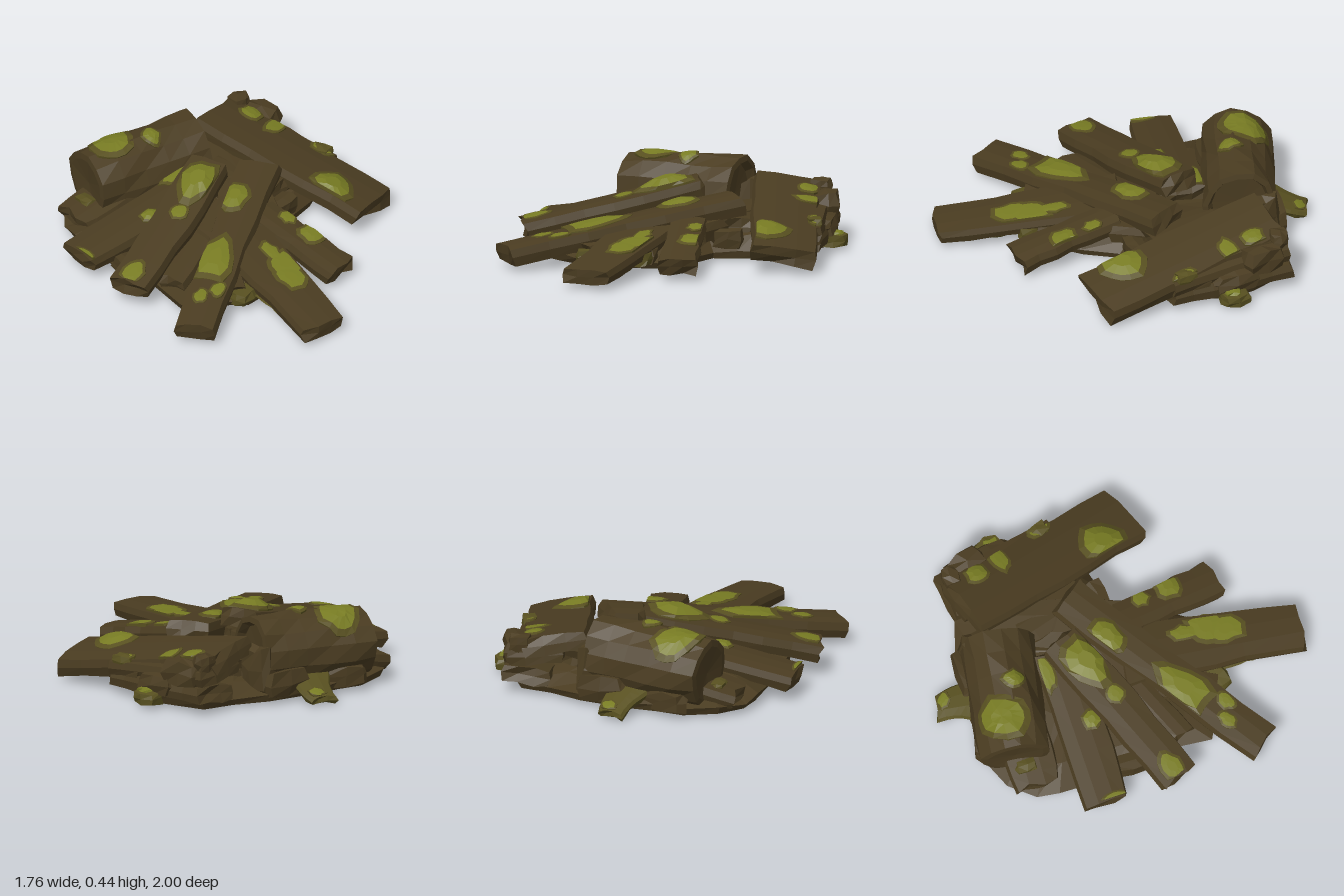
import * as THREE from 'three';

const flatMat = (name, color) => {
  const m = new THREE.MeshStandardMaterial({ color, flatShading: true });
  m.name = name;
  return m;
};

export function createModel() {
  const model = new THREE.Group();
  model.name = 'mossyWoodPile';
  const wood = flatMat('darkWood', 0x4a3c21);
  const moss = flatMat('moss', 0x787c23);
  const fringe = flatMat('mossFringe', 0x585020);

  // repeatable noise in -1..1
  const noise = (a, b = 0, c = 0) => {
    const s = Math.sin(a * 12.99 + b * 78.23 + c * 37.72) * 43758.55;
    return (s - Math.floor(s)) * 2 - 1;
  };

  const add = (name, geometry, material, parent = model) => {
    const g = geometry.index ? geometry.toNonIndexed() : geometry;
    g.computeVertexNormals();
    const mesh = new THREE.Mesh(g, material);
    mesh.name = name;
    parent.add(mesh);
    return mesh;
  };

  // surface through closed loops, listed from the top centre outward
  const skin = (loops) => {
    const n = loops[0].length, pos = [];
    for (let k = 0; k + 1 < loops.length; k++) {
      for (let i = 0; i < n; i++) {
        const j = (i + 1) % n, a = loops[k], b = loops[k + 1];
        for (const p of [a[i], b[j], b[i], a[i], a[j], b[j]]) pos.push(...p);
      }
    }
    const g = new THREE.BufferGeometry();
    g.setAttribute('position', new THREE.Float32BufferAttribute(pos, 3));
    return g;
  };

  // moss patch: bright core and darker rim with a skirt, laid on a surface by map(u, w, h)
  const patch = (parent, map, u, w, ru, rw, h = 0.008, turn = 0) => {
    const loop = (f, lift) => Array.from({ length: 13 }, (_, i) => {
      const t = i / 13 * Math.PI * 2;
      const r = f * (1 + 0.17 * noise(i, u * 10, w * 10));
      const x = Math.cos(t) * ru * r, z = Math.sin(t) * rw * r;
      const c = Math.cos(turn), s = Math.sin(turn);
      return map(u + x * c - z * s, w + x * s + z * c, lift);
    });
    const edge = h * 0.35 + 0.003;
    add('mossCore', skin([loop(0, h), loop(0.4, h), loop(0.88, edge)]), moss, parent);
    add('mossRim', skin([loop(0.88, edge), loop(1.16, 0.003), loop(1.17, -0.012)]), fringe, parent);
  };

  // plank from centre point a to b; spots are [x, z, along, across, height]
  let seed = 0;
  const plank = (name, a, b, W, T, { roll = 0, taper = 0, spots = [], mat = wood } = {}) => {
    seed++;
    const A = new THREE.Vector3(...a), B = new THREE.Vector3(...b);
    const L = A.distanceTo(B);
    const d = B.clone().sub(A).normalize();
    const s = d.clone().cross(new THREE.Vector3(0, 1, 0)).normalize();
    const n = s.clone().cross(d);
    const group = new THREE.Group();
    group.name = name;
    group.quaternion.setFromRotationMatrix(new THREE.Matrix4().makeBasis(d, n, s));
    group.position.copy(A).add(B).multiplyScalar(0.5);
    group.rotateX(roll);
    model.add(group);

    const g = new THREE.BoxGeometry(L, T, W, 6, 2, 3);
    const p = g.attributes.position;
    for (let i = 0; i < p.count; i++) {
      const x = p.getX(i), y = p.getY(i), z = p.getZ(i);
      const qx = Math.round(x / L * 6), qy = Math.round(y / T * 2), qz = Math.round(z / W * 6);
      const end = Math.abs(qx) === 3, side = Math.abs(qz) === 3;
      const dz = side ? Math.sign(z) * (0.012 * noise(qx, qz, seed) - (qy ? 0.012 : 0)) : 0;
      const dx = end ? 0.018 * noise(qz, qx + qy * 0.3, seed) : 0;
      const dy = qy < 0 ? 0.008 * noise(qx, qz, seed + 9) : (qy > 0 && side ? -0.008 : 0);
      p.setXYZ(i, x + dx, y + dy, z * (1 + taper * x / L) + dz);
    }
    add(name + 'Board', g, mat, group);

    const map = (u, w, h) => {
      const half = W / 2 * (1 + taper * u / L) - 0.02;
      return [THREE.MathUtils.clamp(u, -L / 2 + 0.01, L / 2 - 0.01), T / 2 + h,
        THREE.MathUtils.clamp(w, -half, half)];
    };
    const mid = group.position;
    const flatD = Math.hypot(d.x, d.z);
    for (const [x, z, ru, rw, h] of spots) {
      const u = ((x - mid.x) * d.x + (z - mid.z) * d.z) / flatD / flatD;
      const w = (x - mid.x) * s.x + (z - mid.z) * s.z;
      patch(group, map, u, w, ru, rw, h);
    }
  };

  // low mound of packed debris with a flat underside
  const outline = [[-0.2, -0.86], [0.1, -0.86], [0.3, -0.82], [0.48, -0.82], [0.6, -0.68], [0.66, -0.55],
    [0.65, -0.4], [0.62, -0.2], [0.5, -0.1], [0.35, -0.03], [0.23, 0.02], [0.18, 0.22], [0.1, 0.4],
    [-0.1, 0.5], [-0.27, 0.54], [-0.36, 0.49], [-0.5, 0.45], [-0.61, 0.4], [-0.62, 0.12], [-0.71, 0.02],
    [-0.72, -0.2], [-0.76, -0.45], [-0.75, -0.57], [-0.67, -0.72], [-0.5, -0.81], [-0.35, -0.83]];
  const ring = (f, y, rough) => outline.map(([x, z], i) => {
    const k = f * (1 + rough * noise(i, 3));
    return [-0.02 + (x + 0.02) * k, y + rough * noise(i, f), -0.25 + (z + 0.25) * k];
  });
  add('debrisMound', skin([ring(0, 0.18, 0), ring(0.45, 0.16, 0.02), ring(0.8, 0.12, 0.025),
    ring(1, 0.065, 0.015), ring(0.97, 0.025, 0.005), ring(0, 0.02, 0)]), wood);

  // main planks fanned over the mound
  plank('frontPlank', [-0.07, 0.075, 0.97], [-0.11, 0.19, 0.0], 0.3, 0.08,
    { taper: 0.25, spots: [[-0.04, 0.58, 0.1, 0.07], [-0.01, 0.47, 0.1, 0.09], [-0.03, 0.35, 0.08, 0.04]] });
  plank('undersideMoss', [-0.08, 0.066, 0.69], [-0.1, 0.094, 0.45], 0.26, 0.02, { mat: fringe });
  plank('shortPlank', [0.27, 0.085, 0.57], [0.09, 0.2, 0.03], 0.21, 0.09,
    { spots: [[0.25, 0.31, 0.075, 0.075, 0.015], [0.19, 0.15, 0.05, 0.045]] });
  plank('longPlank', [-0.69, 0.085, 0.66], [0.25, 0.285, -0.23], 0.23, 0.1,
    { spots: [[-0.33, 0.29, 0.17, 0.09, 0.02], [0.0, -0.06, 0.11, 0.075, 0.025], [-0.44, 0.5, 0.05, 0.04],
      [-0.54, 0.49, 0.05, 0.035]] });
  plank('upperPlank', [-0.8, 0.13, 0.19], [0.0, 0.34, -0.31], 0.23, 0.1,
    { spots: [[-0.14, -0.2, 0.15, 0.1, 0.045], [-0.75, 0.15, 0.09, 0.055], [-0.33, -0.08, 0.055, 0.045]] });
  plank('sidePlank', [-0.87, 0.11, -0.22], [-0.04, 0.24, -0.34], 0.26, 0.09,
    { spots: [[-0.43, -0.22, 0.05, 0.05, 0.02], [-0.86, -0.17, 0.03, 0.07], [-0.14, -0.41, 0.1, 0.04]] });
  plank('broadPlank', [0.285, 0.29, -0.77], [0.715, 0.105, 0.175], 0.36, 0.1,
    { roll: -0.16, spots: [[0.53, 0.02, 0.11, 0.12, 0.03], [0.45, -0.67, 0.06, 0.06, 0.015],
      [0.53, -0.54, 0.045, 0.09], [0.67, -0.3, 0.06, 0.04, 0.01]] });

  // half-buried boards underneath
  plank('buriedBoard', [-0.57, 0.1, 0.24], [0.0, 0.2, -0.12], 0.16, 0.09);
  plank('buriedBoard', [0.2, 0.17, -0.65], [0.08, 0.16, 0.05], 0.28, 0.1, { roll: 0.1 });
  plank('buriedBoard', [0.38, 0.22, -0.82], [0.6, 0.16, -0.2], 0.3, 0.09, { roll: -0.1 });
  plank('buriedBoard', [0.42, 0.11, -0.84], [0.6, 0.08, -0.2], 0.28, 0.09, { roll: 0.1 });
  plank('buriedBoard', [-0.7, 0.09, -0.56], [-0.3, 0.18, -0.6], 0.26, 0.09);
  plank('buriedBoard', [-0.35, 0.1, 0.46], [-0.2, 0.16, 0.0], 0.2, 0.08);
  plank('buriedBoard', [0.29, 0.17, -0.12], [0.12, 0.17, -0.5], 0.2, 0.1);
  plank('mossyTail', [-0.15, 0.035, -0.99], [-0.17, 0.13, -0.76], 0.2, 0.05,
    { taper: 0.5, mat: fringe, spots: [[-0.13, -0.95, 0.035, 0.045]] });

  // broken chunks around the edge: [x, y, z, half width, half height, half depth, turn, material]
  const chunks = [[0.6, 0.13, -0.56, 0.07, 0.06, 0.13, 0.3, wood], [0.65, 0.06, -0.55, 0.09, 0.04, 0.08, 0.4, fringe],
    [0.67, 0.085, -0.55, 0.045, 0.025, 0.045, 0.2, moss],
    [0.54, 0.22, -0.72, 0.07, 0.07, 0.12, 0.5, wood], [0.47, 0.28, -0.81, 0.06, 0.05, 0.05, 0.2, wood],
    [0.62, 0.11, -0.34, 0.07, 0.06, 0.11, 0.1, wood], [0.67, 0.19, -0.3, 0.04, 0.04, 0.06, 0.5, fringe],
    [-0.02, 0.11, -0.81, 0.14, 0.08, 0.06, 0.1, wood], [-0.38, 0.09, -0.78, 0.14, 0.06, 0.06, -0.2, wood],
    [-0.6, 0.15, -0.6, 0.04, 0.025, 0.06, 0.2, fringe],
    [0.28, 0.12, -0.06, 0.09, 0.06, 0.06, 0.3, wood], [-0.28, 0.08, 0.49, 0.07, 0.04, 0.06, 0.4, fringe],
    [0.03, 0.09, 0.47, 0.05, 0.04, 0.08, 0.1, fringe], [0.1, 0.18, -0.74, 0.06, 0.14, 0.1, 0.2, wood],
    [-0.66, 0.08, -0.05, 0.06, 0.05, 0.12, 0.1, wood], [-0.05, 0.09, 0.4, 0.14, 0.05, 0.07, 0.1, wood]];
  chunks.forEach(([x, y, z, w, h, d, turn, mat], i) => {
    const g = new THREE.BoxGeometry(2, 2, 2, 2, 2, 2);
    const p = g.attributes.position, v = new THREE.Vector3();
    for (let k = 0; k < p.count; k++) {
      v.fromBufferAttribute(p, k);
      const shake = [0, 1, 2].map((a) => 0.15 * noise(v.x + a * 7, v.y + i, v.z));
      v.lerp(v.clone().normalize(), 0.55);
      p.setXYZ(k, (v.x + shake[0]) * w, (v.y + shake[1]) * h, (v.z + shake[2]) * d);
    }
    const m = add('brokenChunk', g, mat);
    m.position.set(x, y, z);
    m.rotation.y = turn;
  });

  // knobbly log lying across the back, hollowed at one end
  const log = new THREE.Group();
  log.name = 'log';
  log.position.set(-0.235, 0.23, -0.64);
  log.rotation.set(0, -0.02, 0.03);
  model.add(log);
  const bulge = (phi, x) => 1 + 0.04 * Math.sin(3 * phi + 1 + 5 * x) + 0.035 * Math.sin(5 * phi + 14 * x);
  const profile = [[0, -0.32], [0.15, -0.335], [0.185, -0.33], [0.196, -0.2], [0.196, -0.06], [0.196, 0.08],
    [0.196, 0.2], [0.2, 0.325], [0.17, 0.33], [0.15, 0.29], [0, 0.28]];
  const bark = new THREE.LatheGeometry(profile.map(([r, y]) => new THREE.Vector2(r, y)), 13).rotateZ(-Math.PI / 2);
  const bp = bark.attributes.position;
  for (let i = 0; i < bp.count; i++) {
    const x = bp.getX(i), y = bp.getY(i), z = bp.getZ(i);
    const k = bulge(Math.atan2(z, y), x);
    bp.setXYZ(i, x, y * k, z * k);
  }
  add('logBark', bark, wood, log);
  const onLog = (u, w, h) => {
    const phi = w / 0.196, r = 0.196 * bulge(phi, u) + h;
    return [u, r * Math.cos(phi), r * Math.sin(phi)];
  };
  patch(log, onLog, -0.16, -0.05, 0.1, 0.16, 0.012, 0.3);
  patch(log, onLog, 0.04, 0.05, 0.045, 0.06, 0.012);

  // rest on the ground, centred
  model.updateMatrixWorld(true);
  const box = new THREE.Box3().setFromObject(model, true);
  const c = box.getCenter(new THREE.Vector3());
  model.children.forEach((o) => o.position.sub(new THREE.Vector3(c.x, box.min.y, c.z)));
  return model;
}
